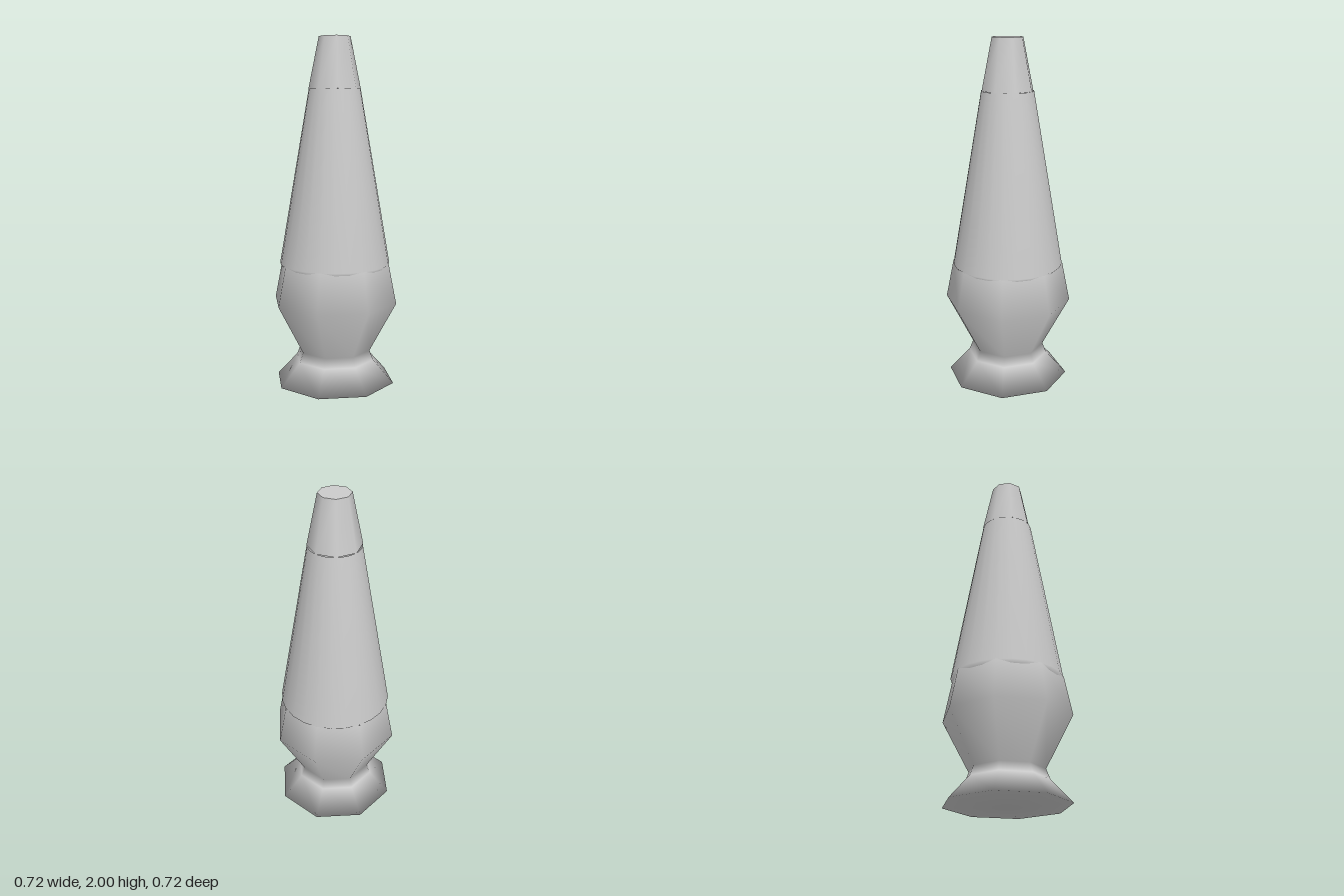
import * as THREE from 'three';

const material = new THREE.MeshStandardMaterial({ color: 0xcccccc, side: THREE.DoubleSide });

// Turned part from [radius, height] pairs, bottom to top
function turned(name, profile, sides, turn) {
  const points = profile.map(([r, y]) => new THREE.Vector2(r, y));
  const mesh = new THREE.Mesh(new THREE.LatheGeometry(points, sides, turn), material);
  mesh.name = name;
  return mesh;
}

export function createModel() {
  const lamp = new THREE.Group();
  lamp.name = 'lavaLamp';

  // Eight-sided hourglass base: shallow underside, flared foot, neck, belly and open rim
  lamp.add(turned('base', [
    [0, 0], [0.352, 0.015], [0.232, 0.145], [0.21, 0.2], [0.365, 0.49], [0.32, 0.715],
  ], 8, 0.2));

  // Round tapered bottle, its lower lip tucked into the base
  lamp.add(turned('glassBottle', [
    [0, 0.67], [0.275, 0.67], [0.317, 0.715], [0.147, 1.71],
  ], 24, 0.2));

  // Eight-sided cap, turned the other way from the base
  const cap = new THREE.Mesh(
    new THREE.CylinderGeometry(0.09, 0.149, 0.29, 8, 1, false, -0.2), material);
  cap.name = 'cap';
  cap.position.y = 1.855;
  lamp.add(cap);

  return lamp;
}
